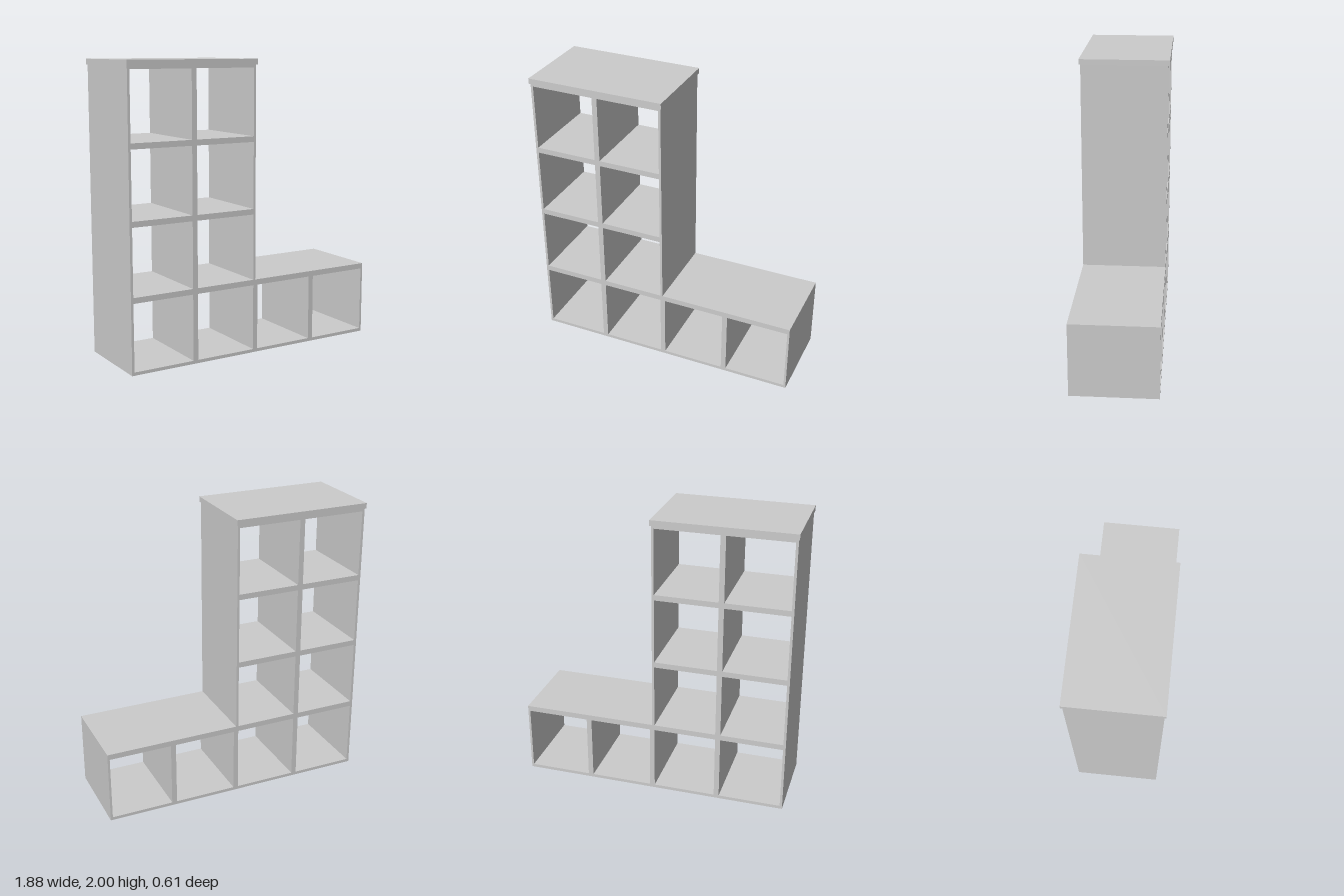
import * as THREE from 'three';

const DEPTH = 0.59;
const HALF = 0.937;        // half of the overall carcass width
const LOW = 0.512;         // top of the low wing
const TALL = 1.963;        // top of the tower, under the cap
const COLUMNS = [[-0.92, -0.486], [-0.45, -0.016], [0.018, 0.452], [0.488, 0.922]];
const ROWS = [[0.022, 0.474], [0.512, 0.963], [1.001, 1.453], [1.491, 1.943]];

export function createModel() {
  const model = new THREE.Group();
  model.name = 'steppedCubeShelf';
  const material = new THREE.MeshStandardMaterial({ color: 0xcccccc });

  // L-shaped carcass outline
  const outline = new THREE.Shape([
    [-HALF, 0], [HALF, 0], [HALF, LOW], [0, LOW], [0, TALL], [-HALF, TALL],
  ].map(([x, y]) => new THREE.Vector2(x, y)));

  // Open compartments: four along the bottom, two in each tower row
  ROWS.forEach(([y0, y1], row) => {
    COLUMNS.slice(0, row === 0 ? 4 : 2).forEach(([x0, x1]) => {
      outline.holes.push(new THREE.Path([
        new THREE.Vector2(x0, y0), new THREE.Vector2(x0, y1),
        new THREE.Vector2(x1, y1), new THREE.Vector2(x1, y0),
      ]));
    });
  });

  const frameGeometry = new THREE.ExtrudeGeometry(outline, { depth: DEPTH, bevelEnabled: false });
  frameGeometry.translate(0, 0, -DEPTH / 2);
  const frame = new THREE.Mesh(frameGeometry, material);
  frame.name = 'shelfFrame';
  model.add(frame);

  // Overhanging cap on the tower
  const cap = new THREE.Mesh(new THREE.BoxGeometry(0.952, 2 - TALL, 0.61), material);
  cap.name = 'topBoard';
  cap.position.set(-0.468, (2 + TALL) / 2, 0);
  model.add(cap);

  return model;
}
